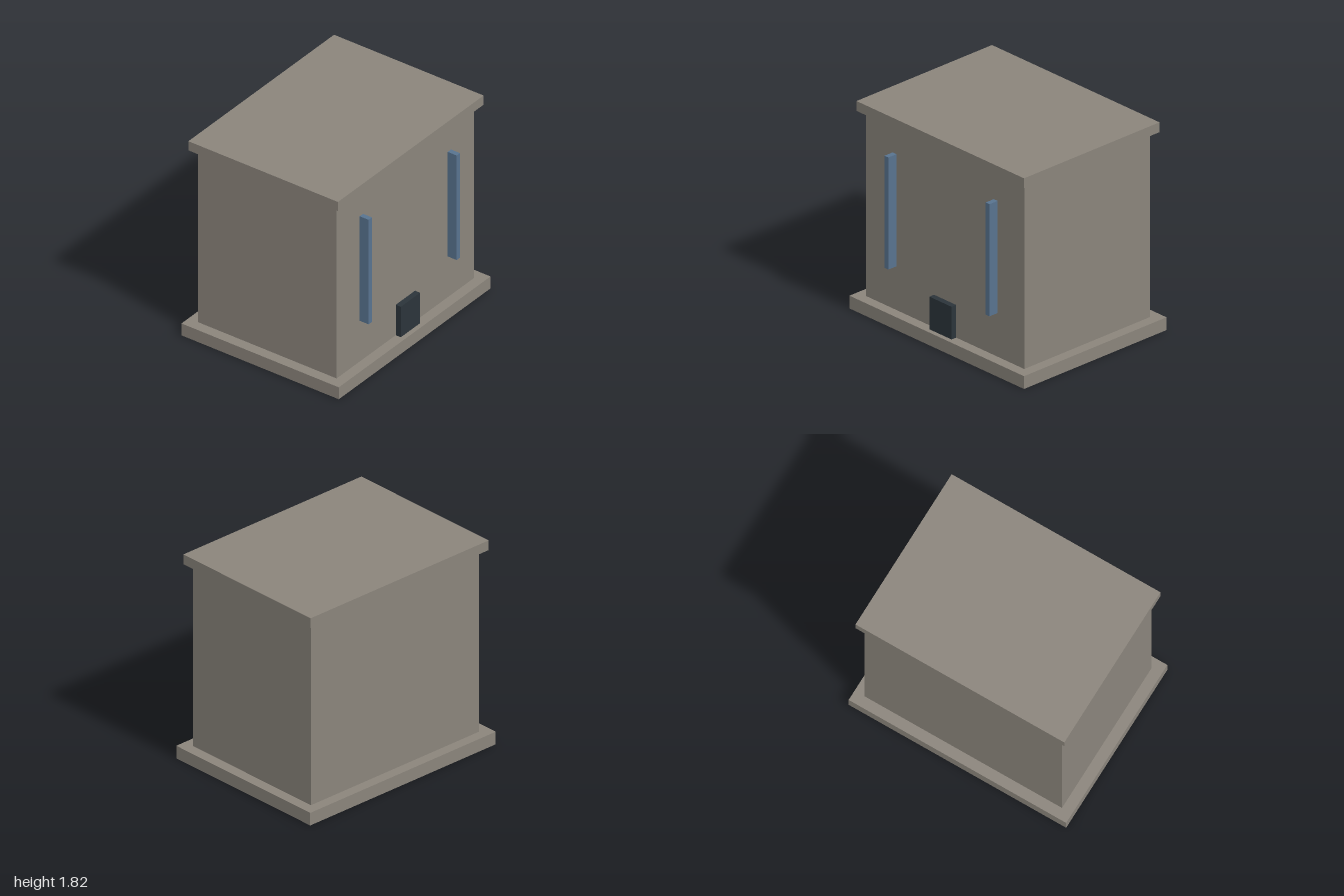
import * as THREE from 'three';

const paint = (name, color) => {
  const m = new THREE.MeshStandardMaterial({ color });
  m.name = name;
  return m;
};

export function createModel() {
  const group = new THREE.Group();
  group.name = 'building';
  const stone = paint('stone', 0x8a847b);
  const glass = paint('blue glass', 0x58738f);
  const dark = paint('dark door', 0x2b343a);

  // Box given by its extents on each axis
  const box = (name, mat, [x0, x1], [y0, y1], [z0, z1]) => {
    const mesh = new THREE.Mesh(new THREE.BoxGeometry(x1 - x0, y1 - y0, z1 - z0), mat);
    mesh.position.set((x0 + x1) / 2, (y0 + y1) / 2, (z0 + z1) / 2);
    mesh.name = name;
    group.add(mesh);
  };

  // Stacked masses: plinth, walls and roof slab
  box('plinth', stone, [-1, 1], [0, 0.112], [-0.773, 0.773]);
  box('walls', stone, [-0.907, 0.907], [0.112, 1.732], [-0.682, 0.682]);
  box('roofSlab', stone, [-0.96, 0.96], [1.732, 1.818], [-0.735, 0.735]);

  // Door reaches just through the underside of the plinth
  box('door', dark, [-0.127, 0.127], [-0.001, 0.398], [0.68, 0.732]);

  // Tall projecting window fins on both sides of the door
  for (const [side, x] of [['left', 0.58], ['right', -0.58]]) {
    box(side + 'WindowFin', glass, [x - 0.022, x + 0.022], [0.495, 1.477], [0.68, 0.77]);
  }
  return group;
}
